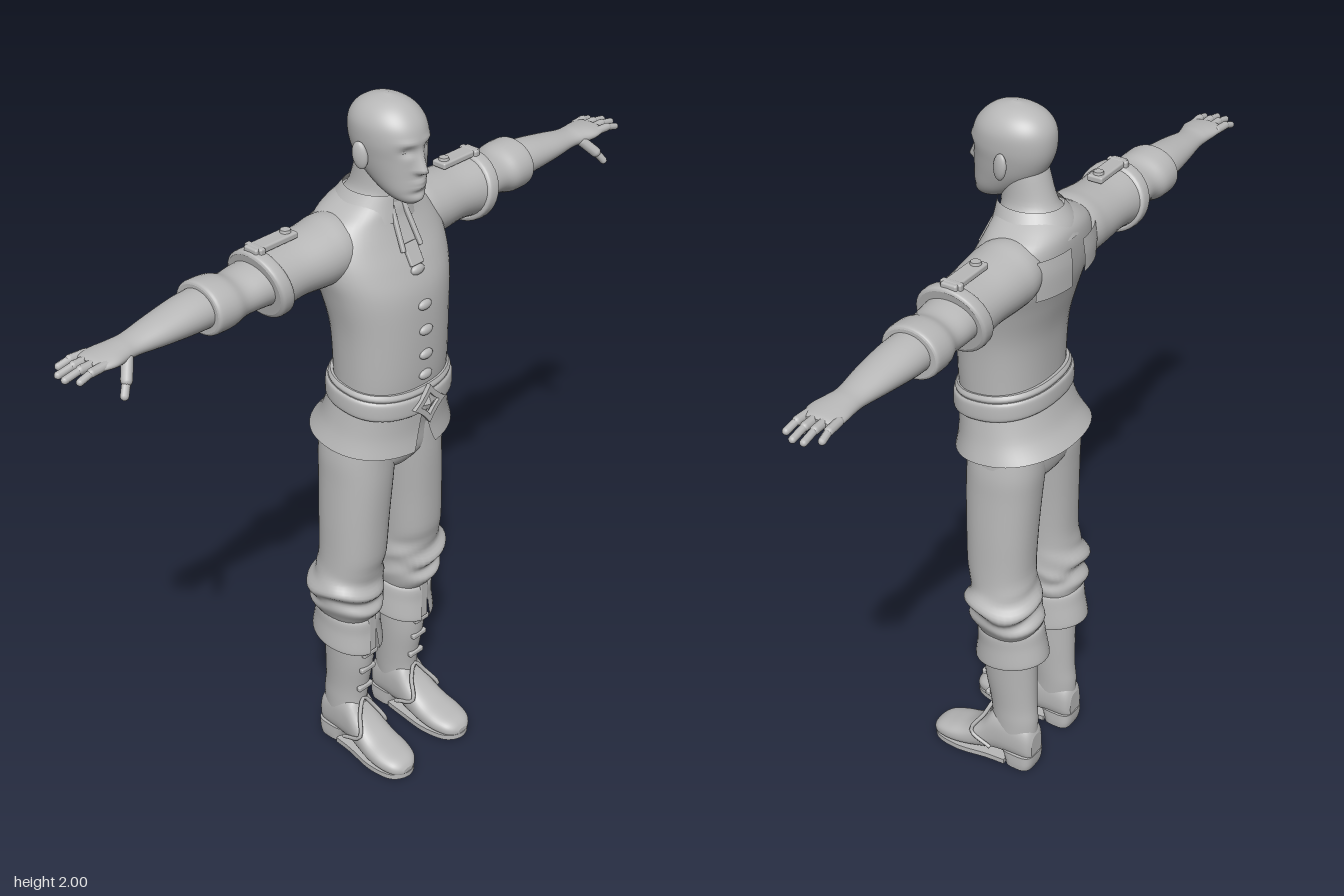
import * as THREE from 'three';
import { RoundedBoxGeometry } from 'three/addons/geometries/RoundedBoxGeometry.js';

const UP = Math.PI / 2;
const bell = (v, w) => Math.exp(-(v * v) / (w * w));
const clamp01 = (v) => Math.min(1, Math.max(0, v));

// Smooth skin through rings [t, aMin, aMax, bMin, bMax].
// axis y: a = x, b = z; axis x: a = y, b = z; axis z: a = x, b = y.
function loft(rings, { axis = 'y', n = 36, sub = 5, e = 2, arc = null, cap = !arc, mod = null } = {}) {
  const rows = [];
  const last = rings.length - 1;
  for (let i = 0; i < last; i++) {
    const [p, q, r, s] = [rings[Math.max(i - 1, 0)], rings[i], rings[i + 1], rings[Math.min(i + 2, last)]];
    for (let k = 0; k < sub; k++) {
      const u = k / sub;
      rows.push(q.map((v, c) => {
        const cubic = 3 * (v - r[c]) + s[c] - p[c];
        const square = 2 * p[c] - 5 * v + 4 * r[c] - s[c];
        return v + 0.5 * u * (r[c] - p[c] + u * (square + u * cubic));
      }));
    }
  }
  rows.push(rings[last]);
  const pos = [], idx = [], cols = arc ? n + 1 : n;
  const put = (t, a, b) => {
    const v = axis === 'y' ? new THREE.Vector3(a, t, b)
      : axis === 'x' ? new THREE.Vector3(t, a, b) : new THREE.Vector3(a, b, t);
    if (mod) mod(v);
    pos.push(v.x, v.y, v.z);
  };
  const tri = (a, b, c) => (axis === 'y' ? idx.push(a, b, c) : idx.push(a, c, b));
  const bend = (v) => Math.sign(v) * Math.abs(v) ** (2 / e);
  const ring = ([t, a0, a1, b0, b1], f) => {
    const [s, en] = arc ? arc(f) : [0, Math.PI * 2];
    for (let j = 0; j < cols; j++) {
      const th = s + (en - s) * j / n;
      put(t, (a0 + a1) / 2 + bend(Math.cos(th)) * (a1 - a0) / 2, (b0 + b1) / 2 + bend(Math.sin(th)) * (b1 - b0) / 2);
    }
  };
  rows.forEach((r, i) => ring(r, i / (rows.length - 1)));
  for (let i = 0; i < rows.length - 1; i++) for (let j = 0; j < n; j++) {
    const k = (j + 1) % cols, a = i * cols, b = a + cols;
    tri(a + j, b + j, b + k);
    tri(a + j, b + k, a + k);
  }
  if (cap) [rows[0], rows[rows.length - 1]].forEach((r, top) => {
    const base = pos.length / 3;
    ring(r, top);
    put(r[0], (r[1] + r[2]) / 2, (r[3] + r[4]) / 2);
    for (let j = 0; j < n; j++) {
      const k = (j + 1) % n;
      if (top) tri(base + n, base + k, base + j);
      else tri(base + n, base + j, base + k);
    }
  });
  const g = new THREE.BufferGeometry();
  g.setAttribute('position', new THREE.Float32BufferAttribute(pos, 3));
  g.setIndex(idx);
  g.computeVertexNormals();
  return g;
}

function mirrored(geo) {
  const g = geo.clone();
  if (!g.index) g.setIndex([...Array(g.attributes.position.count).keys()]);
  g.scale(-1, 1, 1);
  const ix = g.index.array;
  for (let i = 0; i < ix.length; i += 3) [ix[i + 1], ix[i + 2]] = [ix[i + 2], ix[i + 1]];
  return g;
}

const box = (w, h, d, x, y, z, rx = 0, rz = 0) =>
  new RoundedBoxGeometry(w, h, d, 2, Math.min(w, h, d) * 0.3).rotateX(rx).rotateZ(rz).translate(x, y, z);
const ball = (sx, sy, sz, x, y, z) => new THREE.SphereGeometry(1, 18, 12).scale(sx, sy, sz).translate(x, y, z);

// Capsule running from one point to another
function capsule(a, b, r) {
  const A = new THREE.Vector3(...a), B = new THREE.Vector3(...b), d = B.clone().sub(A);
  const turn = new THREE.Quaternion().setFromUnitVectors(new THREE.Vector3(0, 1, 0), d.clone().normalize());
  const mid = A.add(B).multiplyScalar(0.5);
  return new THREE.CapsuleGeometry(r, d.length(), 5, 10).applyQuaternion(turn).translate(mid.x, mid.y, mid.z);
}

export function createModel() {
  const model = new THREE.Group();
  const grey = new THREE.MeshStandardMaterial({ color: 0xb8b8b8, side: THREE.DoubleSide });
  grey.name = 'plain grey';
  const add = (name, geo) => {
    const m = new THREE.Mesh(geo, grey);
    m.name = name;
    model.add(m);
  };
  const both = (name, geo) => {
    add('left' + name, geo);
    add('right' + name, mirrored(geo));
  };
  const sym = (rows) => rows.map(([y, w, zb, zf]) => [y, -w, w, zb, zf]);

  // Head with nose, sockets, brows, lips and chin raised from the surface
  add('head', loft(sym([
    [1.742, 0.022, 0.05, 0.095], [1.755, 0.04, 0.015, 0.105], [1.78, 0.056, -0.025, 0.107], [1.82, 0.069, -0.075, 0.107],
    [1.86, 0.078, -0.1, 0.107], [1.9, 0.084, -0.11, 0.11], [1.94, 0.082, -0.107, 0.1], [1.97, 0.066, -0.088, 0.077],
    [1.99, 0.039, -0.055, 0.046], [2, 0.006, -0.014, 0.006]]), {
    n: 72, sub: 7, e: 2.1, mod: (v) => {
      if (v.z < 0.03) return;
      const { x, y } = v, ax = Math.abs(x);
      const nose = clamp01((1.89 - y) / 0.06) * clamp01((y - 1.818) / 0.012);
      v.z += 0.027 * bell(x, 0.008 + 0.007 * nose) * nose
        - 0.011 * bell(ax - 0.033, 0.018) * bell(y - 1.884, 0.013)
        + 0.004 * bell(ax - 0.033, 0.025) * bell(y - 1.906, 0.008)
        + 0.007 * bell(x, 0.022) * (bell(y - 1.8, 0.006) + bell(y - 1.787, 0.006))
        + 0.004 * bell(x, 0.02) * bell(y - 1.755, 0.01) - 0.003 * bell(x, 0.03) * bell(y - 1.772, 0.006);
    } }));
  both('Eye', ball(0.014, 0.007, 0.008, 0.033, 1.884, 0.083));
  both('Ear', ball(0.011, 0.036, 0.021, 0, 0, 0).rotateX(-0.15).rotateY(-0.3).translate(0.087, 1.862, -0.012));
  add('neck', loft(sym([[1.66, 0.1, -0.15, 0.03], [1.72, 0.082, -0.138, 0.03], [1.76, 0.061, -0.115, 0.03],
    [1.83, 0.056, -0.092, 0.03], [1.86, 0.055, -0.08, 0.03]])));

  // Jacket body, collar and back flaps
  add('jacket', loft(sym([
    [1.18, 0.16, -0.115, 0.12], [1.27, 0.162, -0.115, 0.13], [1.4, 0.167, -0.122, 0.13], [1.5, 0.184, -0.145, 0.121],
    [1.57, 0.2, -0.163, 0.095], [1.63, 0.198, -0.17, 0.065], [1.68, 0.165, -0.17, 0.043], [1.71, 0.118, -0.16, 0.035],
    [1.735, 0.075, -0.135, 0.025]]), { n: 48, e: 2.3 }));
  add('collar', loft(sym([[1.68, 0.125, -0.172, 0.05], [1.715, 0.1, -0.158, 0.044], [1.75, 0.074, -0.132, 0.04]]),
    { arc: () => [UP + 0.25, UP + Math.PI * 2 - 0.25] }));
  [[3.95, 4.6, 0], [4.82, 5.47, -0.015]].forEach(([s, en, dy], i) => add('backFlap' + i, loft(sym([
    [1.575 + dy, 0.2, -0.186, 0.1], [1.62, 0.2, -0.186, 0.08], [1.665, 0.19, -0.18, 0.06]]), { n: 14, e: 2.3, arc: () => [s, en] })));
  both('CollarEdge', box(0.012, 0.12, 0.012, 0.026, 1.665, 0.056, -0.45, 0.1));
  add('placket', box(0.045, 0.06, 0.01, 0, 1.6, 0.085, -0.5));
  [[1.56, 0.1], [1.47, 0.126], [1.4, 0.131], [1.33, 0.132], [1.27, 0.131]].forEach(([y, z], i) =>
    add('fastener' + i, ball(0.023, 0.014, 0.011, 0, y, z)));

  // Belt, diamond buckle and skirt, all lower at the front
  const tilt = (v) => { v.y -= v.z * 0.12; };
  add('belt', loft(sym([[1.18, 0.172, -0.132, 0.136], [1.19, 0.178, -0.138, 0.142], [1.225, 0.177, -0.137, 0.142],
    [1.235, 0.171, -0.131, 0.136]]), { n: 48, e: 2.3, mod: tilt }));
  add('beltRim', loft(sym([[1.233, 0.168, -0.127, 0.134], [1.243, 0.172, -0.13, 0.138], [1.254, 0.166, -0.124, 0.133]]),
    { n: 48, e: 2.3, mod: tilt }));
  const diamond = (path, r) => {
    path.moveTo(r, 0);
    for (let i = 1; i <= 4; i++) {
      const a = i * UP, m = a - UP / 2;
      path.quadraticCurveTo(Math.cos(m) * r * 0.55, Math.sin(m) * r * 0.55, Math.cos(a) * r, Math.sin(a) * r);
    }
    return path;
  };
  const frame = diamond(new THREE.Shape(), 0.058);
  frame.holes.push(diamond(new THREE.Path(), 0.034));
  add('buckle', new THREE.ExtrudeGeometry(frame, { depth: 0.012, bevelEnabled: false }).translate(0, 1.188, 0.138));
  add('buckleStone', new THREE.OctahedronGeometry(0.022).scale(1, 1, 0.4).translate(0, 1.188, 0.144));
  add('skirt', loft(sym([[1.065, 0.202, -0.192, 0.135], [1.12, 0.183, -0.155, 0.128], [1.2, 0.167, -0.127, 0.13]]), {
    n: 54, e: 2.2, mod: tilt, arc: (f) => [UP + 0.17 * (1 - f), UP + Math.PI * 2 - 0.17 * (1 - f)] }));

  // Sleeves
  const X = { axis: 'x' };
  both('UpperSleeve', loft([[0.06, 1.58, 1.69, -0.14, 0], [0.14, 1.54, 1.705, -0.163, 0.025], [0.2, 1.535, 1.698, -0.162, 0.028],
    [0.29, 1.54, 1.688, -0.158, 0.02], [0.37, 1.527, 1.69, -0.16, 0.022]], X));
  const slant = (v) => { v.x += (v.y - 1.6) * 0.2; };
  both('SleeveRim', loft([[0.35, 1.527, 1.69, -0.16, 0.02], [0.358, 1.518, 1.698, -0.168, 0.03],
    [0.385, 1.515, 1.698, -0.168, 0.03], [0.393, 1.525, 1.69, -0.16, 0.02]], { axis: 'x', mod: slant }));
  both('LowerSleeve', loft([[0.36, 1.55, 1.675, -0.145, 0.005], [0.42, 1.555, 1.668, -0.148, 0.002], [0.47, 1.553, 1.663, -0.145, -0.002],
    [0.51, 1.542, 1.675, -0.157, 0.006], [0.56, 1.54, 1.678, -0.157, 0.004], [0.57, 1.548, 1.67, -0.15, -0.004]], X));
  both('ShoulderStrap', box(0.14, 0.018, 0.045, 0.333, 1.7, -0.072));
  both('StrapStud', new THREE.CylinderGeometry(0.013, 0.015, 0.008, 12).translate(0.285, 1.712, -0.072));
  both('StrapLoop', box(0.018, 0.03, 0.06, 0.385, 1.695, -0.072));

  // Forearms, hands and fingers
  both('Forearm', loft([[0.5, 1.56, 1.662, -0.135, -0.018], [0.6, 1.563, 1.66, -0.135, -0.015], [0.7, 1.572, 1.646, -0.124, -0.02],
    [0.78, 1.58, 1.632, -0.112, -0.03], [0.82, 1.582, 1.63, -0.113, -0.025], [0.86, 1.587, 1.627, -0.119, -0.016],
    [0.895, 1.592, 1.622, -0.12, -0.022], [0.908, 1.598, 1.616, -0.112, -0.03]], X));
  [[-0.11, -0.118, 0.95], [-0.084, -0.088, 0.975], [-0.059, -0.06, 0.978], [-0.034, -0.029, 0.96]].forEach(([z0, z1, tip], i) => {
    const mid = [(0.89 + tip) / 2, 1.608, (z0 + z1) / 2];
    both('Finger' + i, capsule([0.88, 1.608, z0], mid, 0.0115));
    both('FingerTip' + i, capsule(mid, [tip, 1.6, z1], 0.0095));
  });
  both('Thumb', capsule([0.82, 1.597, -0.035], [0.848, 1.565, -0.008], 0.015));
  both('ThumbTip', capsule([0.848, 1.565, -0.008], [0.868, 1.537, 0.006], 0.0105));

  // Trousers gathered below the knee
  add('hips', loft(sym([[0.965, 0.08, -0.11, 0.055], [1.0, 0.17, -0.132, 0.073], [1.08, 0.178, -0.138, 0.08],
    [1.19, 0.16, -0.115, 0.11]]), { n: 48, e: 2.3 }));
  const folds = (v) => {
    const w = bell(v.y - 0.58, 0.07), a = Math.atan2(v.z + 0.05, v.x - 0.11);
    v.y += 0.012 * w * Math.sin(a * 3);
    v.z += 0.006 * w * Math.sin(v.y * 95 + a * 2);
  };
  both('TrouserLeg', loft([[0.47, 0.04, 0.175, -0.13, 0.025], [0.5, 0.03, 0.192, -0.145, 0.045], [0.53, 0.022, 0.207, -0.155, 0.057],
    [0.56, 0.025, 0.21, -0.142, 0.05], [0.595, 0.02, 0.228, -0.148, 0.06], [0.64, 0.025, 0.205, -0.132, 0.05],
    [0.7, 0.024, 0.198, -0.123, 0.064], [0.82, 0.016, 0.194, -0.126, 0.07], [0.94, 0.004, 0.188, -0.132, 0.075],
    [1.02, -0.005, 0.184, -0.136, 0.075], [1.1, 0, 0.17, -0.13, 0.075]], { e: 2.2, mod: folds }));

  // Boots: shaft, turned cuff, foot, sole and heel
  both('BootShaft', loft([[0.09, 0.06, 0.155, -0.138, 0.005], [0.16, 0.056, 0.156, -0.14, 0.002], [0.22, 0.052, 0.156, -0.135, 0.008],
    [0.32, 0.046, 0.163, -0.133, 0.025], [0.45, 0.044, 0.17, -0.133, 0.03]]));
  both('BootCuff', loft([[0.388, 0.02, 0.19, -0.163, 0.045], [0.395, 0.016, 0.194, -0.168, 0.05], [0.45, 0.021, 0.19, -0.158, 0.043],
    [0.495, 0.027, 0.188, -0.15, 0.04], [0.503, 0.045, 0.172, -0.13, 0.02]], {
    arc: (f) => [UP + 0.22 - 0.12 * f, UP + Math.PI * 2 - 0.22 + 0.12 * f], mod: (v) => { v.y -= (v.z + 0.06) * 0.16; } }));
  both('CuffTongue', box(0.028, 0.12, 0.012, 0.106, 0.435, 0.036));
  [0.36, 0.298, 0.225].forEach((y, i) => both('BootStrap' + i, box(0.055, 0.016, 0.014, 0.107, y, 0.005 + (y - 0.2) * 0.15)));
  both('Foot', loft([[-0.142, 0.08, 0.135, 0.03, 0.12], [-0.125, 0.064, 0.15, 0.025, 0.15], [-0.07, 0.057, 0.157, 0.025, 0.18],
    [-0.02, 0.055, 0.16, 0.022, 0.18], [0.02, 0.054, 0.164, 0.015, 0.13], [0.07, 0.052, 0.172, 0.01, 0.088],
    [0.12, 0.053, 0.175, 0.008, 0.07], [0.16, 0.064, 0.167, 0.008, 0.058], [0.18, 0.08, 0.153, 0.01, 0.046],
    [0.19, 0.1, 0.135, 0.015, 0.033]], { axis: 'z', e: 2.5 }));
  const sole = new THREE.Shape();
  sole.moveTo(0.062, 0.06);
  sole.splineThru([[0.056, 0], [0.05, -0.09], [0.068, -0.165], [0.115, -0.192], [0.163, -0.165], [0.176, -0.09], [0.162, 0], [0.157, 0.06]]
    .map((p) => new THREE.Vector2(...p)));
  both('Sole', new THREE.ExtrudeGeometry(sole, { depth: 0.016, bevelEnabled: false }).rotateX(-UP).translate(0, 0.002, 0));
  both('Heel', loft([[0, 0.062, 0.154, -0.138, -0.055], [0.02, 0.06, 0.156, -0.143, -0.052], [0.05, 0.06, 0.156, -0.145, -0.04]], { e: 3.5 }));
  const trim = [[0.05, 0.055, -0.02], [0.058, 0.09, 0.045], [0.08, 0.142, 0.018], [0.108, 0.178, 0.004],
    [0.137, 0.142, 0.018], [0.166, 0.09, 0.045], [0.167, 0.055, -0.02]].map((p) => new THREE.Vector3(...p));
  both('InstepTrim', new THREE.TubeGeometry(new THREE.CatmullRomCurve3(trim), 30, 0.006, 6));
  return model;
}
